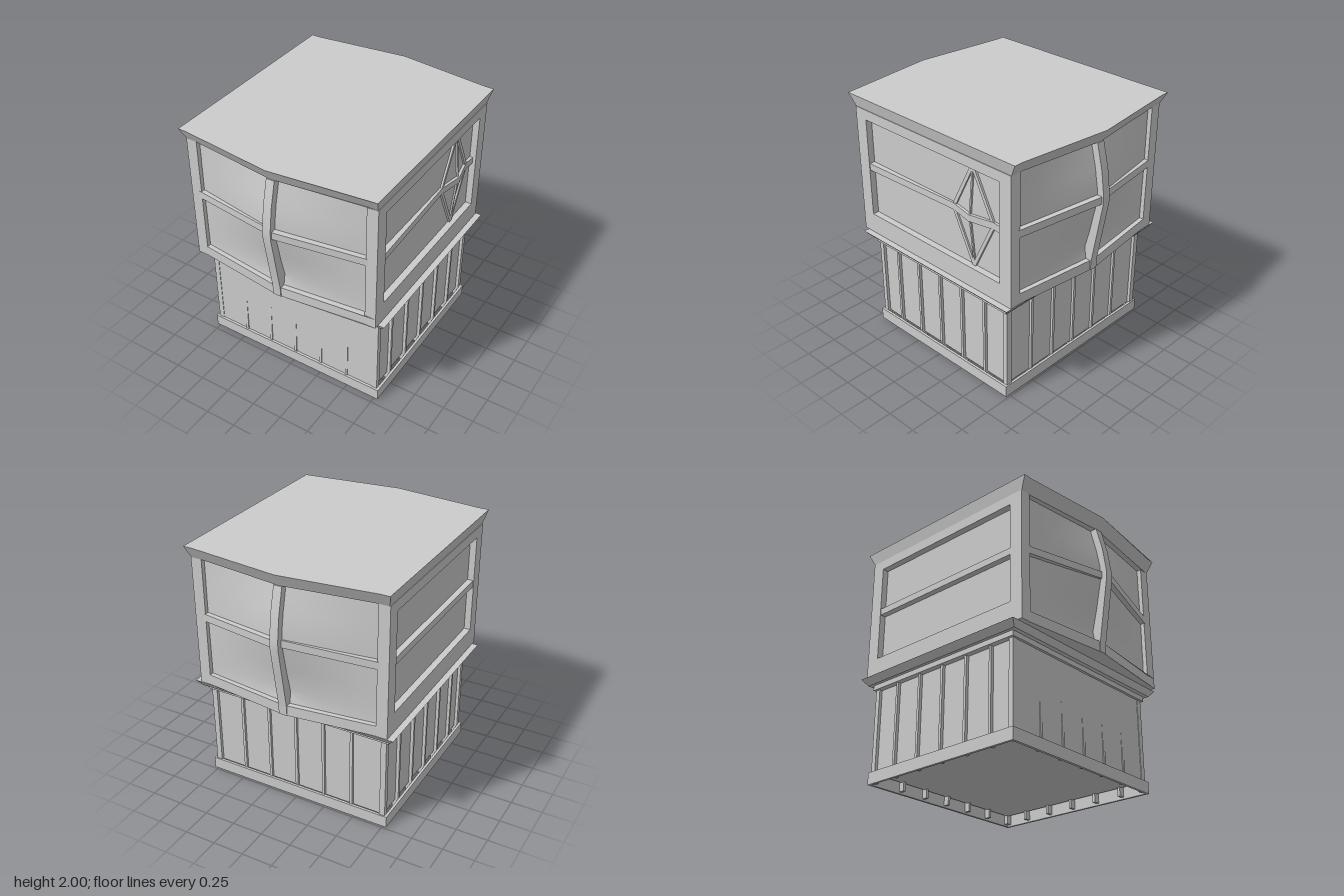
import * as THREE from 'three';
import { toCreasedNormals } from 'three/addons/utils/BufferGeometryUtils.js';

const material = new THREE.MeshStandardMaterial({ color: 0xcccccc });

// Closed solid through cross-sections, each a list of [x, y, z] corners.
function loft(sections) {
  const n = sections[0].length, tris = [];
  const at = (s, i) => sections[s][i % n];
  for (let s = 0; s < sections.length - 1; s++)
    for (let i = 0; i < n; i++)
      tris.push([at(s, i), at(s, i + 1), at(s + 1, i + 1)], [at(s, i), at(s + 1, i + 1), at(s + 1, i)]);
  const last = sections.length - 1;
  for (let i = 1; i < n - 1; i++)
    tris.push([at(0, 0), at(0, i + 1), at(0, i)], [at(last, 0), at(last, i), at(last, i + 1)]);
  // turn the solid right side out
  const V = (p) => new THREE.Vector3(...p);
  let volume = 0;
  for (const [a, b, c] of tris) volume += V(a).dot(V(b).cross(V(c)));
  if (volume < 0) tris.forEach((t) => t.reverse());
  const geo = new THREE.BufferGeometry();
  geo.setAttribute('position', new THREE.Float32BufferAttribute(tris.flat(2), 3));
  geo.computeVertexNormals();
  return toCreasedNormals(geo, 0.4);
}

export function createModel() {
  const model = new THREE.Group();
  const add = (name, geo) => {
    const mesh = new THREE.Mesh(geo, material);
    mesh.name = name;
    model.add(mesh);
    return mesh;
  };
  const box = (name, x0, x1, y0, y1, z0, z1) =>
    add(name, new THREE.BoxGeometry(Math.abs(x1 - x0), y1 - y0, Math.abs(z1 - z0)))
      .position.set((x0 + x1) / 2, (y0 + y1) / 2, (z0 + z1) / 2);
  const slab = (name, low, y0, high, y1) =>
    add(name, loft([low.map(([x, z]) => [x, y0, z]), high.map(([x, z]) => [x, y1, z])]));

  // Outlines: plain rectangle, and one bowed at front and back
  const rect = (x, z0, z1) => [[x, z1], [-x, z1], [-x, z0], [x, z0]];
  const bowed = (x, xFlat, zCorner, zMid) => [
    [x, zCorner], [xFlat, zCorner], [0, zMid], [-xFlat, zCorner], [-x, zCorner],
    [-x, -zCorner], [-xFlat, -zCorner], [0, -zMid], [xFlat, -zCorner], [x, -zCorner],
  ];

  // Lower storey: wall, hollow base boards, upper band and flared ledge
  const zF = 0.7, zB = -0.735;
  box('lowerWall', -0.735, 0.735, 0.085, 0.8, -0.7, 0.68);
  for (const s of [1, -1]) box('baseBoardSide', s * 0.76, s * 0.78, 0, 0.095, zB, zF);
  box('baseBoardFront', -0.78, 0.78, 0, 0.095, zF - 0.02, zF);
  box('baseBoardBack', -0.78, 0.78, 0, 0.095, zB, zB + 0.02);
  box('lowerBand', -0.78, 0.78, 0.76, 0.8, zB, zF);
  slab('ledge', rect(0.805, -0.77, 0.735), 0.8, rect(0.85, -0.805, 0.762), 0.85);

  // Battens and corner posts of the lower storey
  for (const t of [-0.47, -0.23, 0.008, 0.245, 0.485]) {
    const a = t - 0.011, b = t + 0.011;
    for (const s of [1, -1]) box('sideBatten', s * 0.71, s * 0.76, 0.015, 0.78, -a, -b);
    box('backBatten', a, b, 0.015, 0.78, -0.72, -0.67);
    add('frontBatten', loft([[0.015, 0.69], [0.45, 0.68]].map(([y, z]) =>
      [[a, y, 0.64], [b, y, 0.64], [b, y, z], [a, y, z]])));
  }
  for (const s of [1, -1]) {
    box('cornerPostFront', s * 0.715, s * 0.76, 0.015, 0.78, 0.645, 0.684);
    box('cornerPostBack', s * 0.715, s * 0.76, 0.015, 0.78, -0.725, -0.685);
  }

  // Upper storey: bowed sill, flared roof, corner posts
  slab('upperSill', bowed(0.8, 0.71, 0.8, 0.885), 0.85, bowed(0.8, 0.71, 0.8, 0.885), 0.935);
  slab('roof', bowed(0.795, 0.72, 0.8, 0.89), 1.9, bowed(0.82, 0.75, 0.852, 0.94), 2);
  for (const sx of [1, -1])
    for (const sz of [1, -1]) box('upperCornerPost', sx * 0.71, sx * 0.8, 0.935, 1.9, sz * 0.69, sz * 0.8);

  // Bowed front and back windows
  const lowerProfile = [[0.935, 0.845], [1.03, 0.828], [1.23, 0.878], [1.46, 0.925]];
  const upperProfile = [[1.44, 0.925], [1.55, 0.922], [1.7, 0.895], [1.9, 0.845]];
  const postProfile = [[0.85, 0.887], [0.935, 0.89], [1.2, 0.933], [1.44, 0.972],
    [1.505, 0.972], [1.7, 0.945], [1.9, 0.895]];
  for (const f of [1, -1]) {
    add('centrePost', loft(postProfile.map(([y, z]) =>
      [[-0.028, y, f * 0.72], [0.04, y, f * 0.72], [0.04, y, f * z], [-0.028, y, f * z]])));
    for (const s of [1, -1]) {
      for (const profile of [lowerProfile, upperProfile])
        add('bowedPanel', loft(profile.map(([y, z]) => {
          const section = [[0, y, f * 0.69], [s * 0.73, y, f * 0.69]];
          for (let i = 4; i >= 0; i--)
            section.push([s * 0.73 * i / 4, y, f * THREE.MathUtils.lerp(z, 0.762, i / 4)]);
          return section;
        })));
      const zMid = s > 0 ? 0.968 : 0.935;
      add('bowedRail', loft([[0, 1.445, zMid], [0.73, 1.398, 0.8]].map(([x, y, z]) =>
        [[s * x, y, f * 0.72], [s * x, y + 0.06, f * 0.72], [s * x, y + 0.06, f * z], [s * x, y, f * z]])));
    }
  }

  // Side walls: recessed panel inside a frame
  for (const s of [1, -1]) {
    box('sidePanel', s * 0.68, s * 0.748, 0.93, 1.9, -0.72, 0.72);
    box('sideBottomRail', s * 0.72, s * 0.8, 0.93, 1.015, -0.7, 0.7);
    box('sideTopRail', s * 0.72, s * 0.8, 1.82, 1.9, -0.7, 0.7);
  }
  box('leftMiddleRail', -0.72, -0.795, 1.4, 1.455, -0.7, 0.7);
  const railPath = [[0.7, 0.795], [-0.2, 0.765], [-0.4, 0.808], [-0.6, 0.765], [-0.7, 0.775]];
  add('rightMiddleRail', loft(railPath.map(([z, x]) =>
    [[0.72, 1.4, z], [0.72, 1.455, z], [x, 1.455, z], [x, 1.4, z]])));

  // Raised diamond window with its bars
  const top = [0.748, 1.82, -0.4], bottom = [0.748, 1.018, -0.4], apex = [0.787, 1.4275, -0.4];
  const near = [0.748, 1.4275, -0.2], far = [0.748, 1.4275, -0.6];
  add('diamondPane', loft([[top, near, bottom, far].map(([x, y, z]) => [x - 0.02, y, z]),
    [top, near, bottom, far], [apex, apex, apex, apex]]));
  const bar = (name, a, b, w, d) => {
    const dir = new THREE.Vector2(b[1] - a[1], b[2] - a[2]).normalize().multiplyScalar(w / 2);
    add(name, loft([a, b].map(([x, y, z]) => [[-1, -d], [1, -d], [1, d], [-1, d]].map(([k, h]) =>
      [x + h, y - k * dir.y, z + k * dir.x]))));
  };
  for (const tip of [top, bottom]) {
    for (const side of [near, far]) bar('diamondBar', side, tip, 0.028, 0.016);
    bar('diamondMullion', tip, apex, 0.014, 0.012);
  }
  return model;
}
